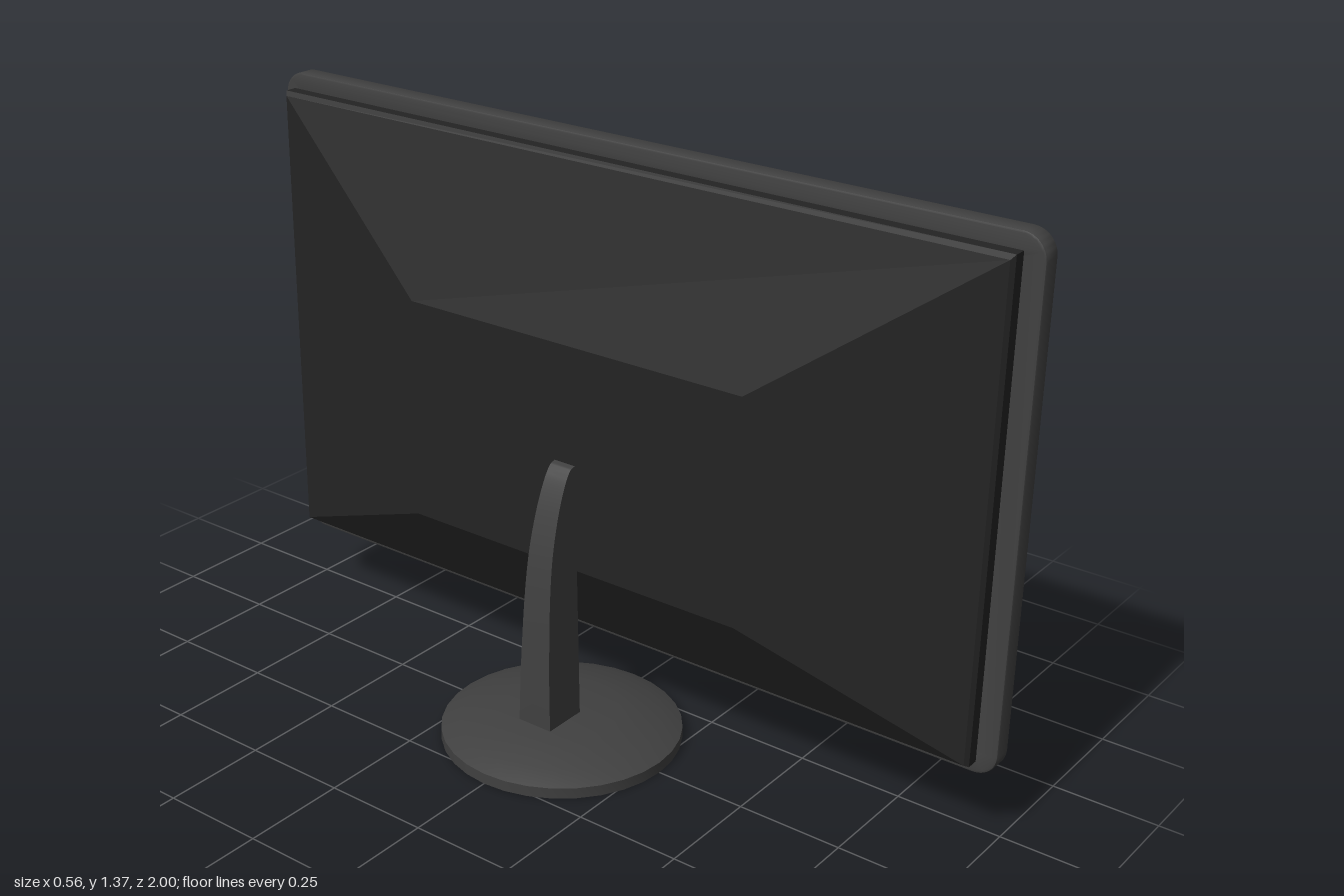
import * as THREE from 'three';
import { toCreasedNormals } from 'three/addons/utils/BufferGeometryUtils.js';

const material = (color) => new THREE.MeshStandardMaterial({ color });
const charcoal = material(0x404040);
const black = material(0x242424);
const glass = material(0x2b2b2b);
const green = material(0x4cb840);
const button = material(0x141418);

function addMesh(parent, name, geometry, mat) {
  const mesh = new THREE.Mesh(geometry, mat);
  mesh.name = name;
  parent.add(mesh);
  return mesh;
}

// Rectangle outline with rounded corners
function roundedRect(path, x0, y0, x1, y1, r) {
  path.moveTo(x0 + r, y0);
  path.lineTo(x1 - r, y0);
  path.absarc(x1 - r, y0 + r, r, -Math.PI / 2, 0);
  path.lineTo(x1, y1 - r);
  path.absarc(x1 - r, y1 - r, r, 0, Math.PI / 2);
  path.lineTo(x0 + r, y1);
  path.absarc(x0 + r, y1 - r, r, Math.PI / 2, Math.PI);
  path.lineTo(x0, y0 + r);
  path.absarc(x0 + r, y0 + r, r, Math.PI, Math.PI * 1.5);
  return path;
}

// Loft through upright rectangles [x, bottom, top, half width], ordered along +x
function loftRectangles(sections) {
  const rings = sections.map(([x, y0, y1, w]) => [[x, y0, w], [x, y0, -w], [x, y1, -w], [x, y1, w]]);
  const points = [];
  const quad = (a, b, c, d) => points.push(...a, ...b, ...c, ...a, ...c, ...d);
  for (let i = 0; i < rings.length - 1; i++) {
    for (let j = 0; j < 4; j++) {
      const k = (j + 1) % 4;
      quad(rings[i][j], rings[i][k], rings[i + 1][k], rings[i + 1][j]);
    }
  }
  const [a, b, c, d] = rings[0];
  quad(a, d, c, b);
  quad(...rings[rings.length - 1]);
  const geometry = new THREE.BufferGeometry();
  geometry.setAttribute('position', new THREE.Float32BufferAttribute(points, 3));
  geometry.computeVertexNormals();
  return geometry;
}

export function createModel() {
  const model = new THREE.Group();
  model.name = 'monitor';

  // Front frame, open in the middle
  const outline = roundedRect(new THREE.Shape(), -0.995, 0.172, 0.995, 1.36, 0.05);
  outline.holes.push(roundedRect(new THREE.Path(), -0.94, 0.22, 0.94, 1.315, 0.005));
  const frame = new THREE.ExtrudeGeometry(outline, {
    depth: 0.038, bevelThickness: 0.005, bevelSize: 0.005, bevelSegments: 2, curveSegments: 6,
  });
  frame.rotateY(Math.PI / 2);
  frame.translate(0.204, 0, 0);
  addMesh(model, 'frame', toCreasedNormals(frame, 0.6), charcoal);

  // Tapered rear housing
  addMesh(model, 'rearHousing', loftRectangles([
    [0.02, 0.42, 0.955, 0.45],
    [0.148, 0.21, 1.32, 0.95],
    [0.157, 0.205, 1.33, 0.958],
    [0.186, 0.205, 1.33, 0.958],
    [0.193, 0.211, 1.324, 0.952],
  ]), black);

  // Recessed screen on the front of the housing
  const screen = addMesh(model, 'screen', new THREE.BoxGeometry(0.005, 1.108, 1.9), glass);
  screen.position.set(0.193, 0.7675, 0);

  // Buttons on the lower frame edge
  for (const [name, z, mat] of [['menuButton', -0.885, button], ['powerButton', -0.932, green]]) {
    const knob = addMesh(model, name, new THREE.CylinderGeometry(0.016, 0.016, 0.02, 16), mat);
    knob.rotation.z = -Math.PI / 2;
    knob.position.set(0.252, 0.2, z);
  }

  // Curved neck, narrowing in width toward the top
  const side = new THREE.Shape();
  side.moveTo(0.01, 0.055);
  side.lineTo(0.01, 0.683);
  side.splineThru([[-0.008, 0.676], [-0.03, 0.64], [-0.055, 0.573], [-0.077, 0.48], [-0.09, 0.36], [-0.098, 0.2]]
    .map(([x, y]) => new THREE.Vector2(x, y)));
  side.lineTo(-0.1, 0.055);
  const neck = new THREE.ExtrudeGeometry(side, { depth: 2, bevelEnabled: false, curveSegments: 4 });
  const p = neck.attributes.position;
  for (let i = 0; i < p.count; i++) {
    const t = (p.getY(i) - 0.055) / 0.63;
    p.setZ(i, (p.getZ(i) - 1) * THREE.MathUtils.lerp(0.045, 0.028, t));
  }
  addMesh(model, 'neck', toCreasedNormals(neck, 0.6), charcoal);

  // Round stepped base
  const profile = [[0, 0], [0.28, 0], [0.28, 0.026], [0.235, 0.045], [0.135, 0.065], [0, 0.065]]
    .map(([r, y]) => new THREE.Vector2(r, y));
  addMesh(model, 'base', toCreasedNormals(new THREE.LatheGeometry(profile, 32), 0.6), charcoal);

  return model;
}
